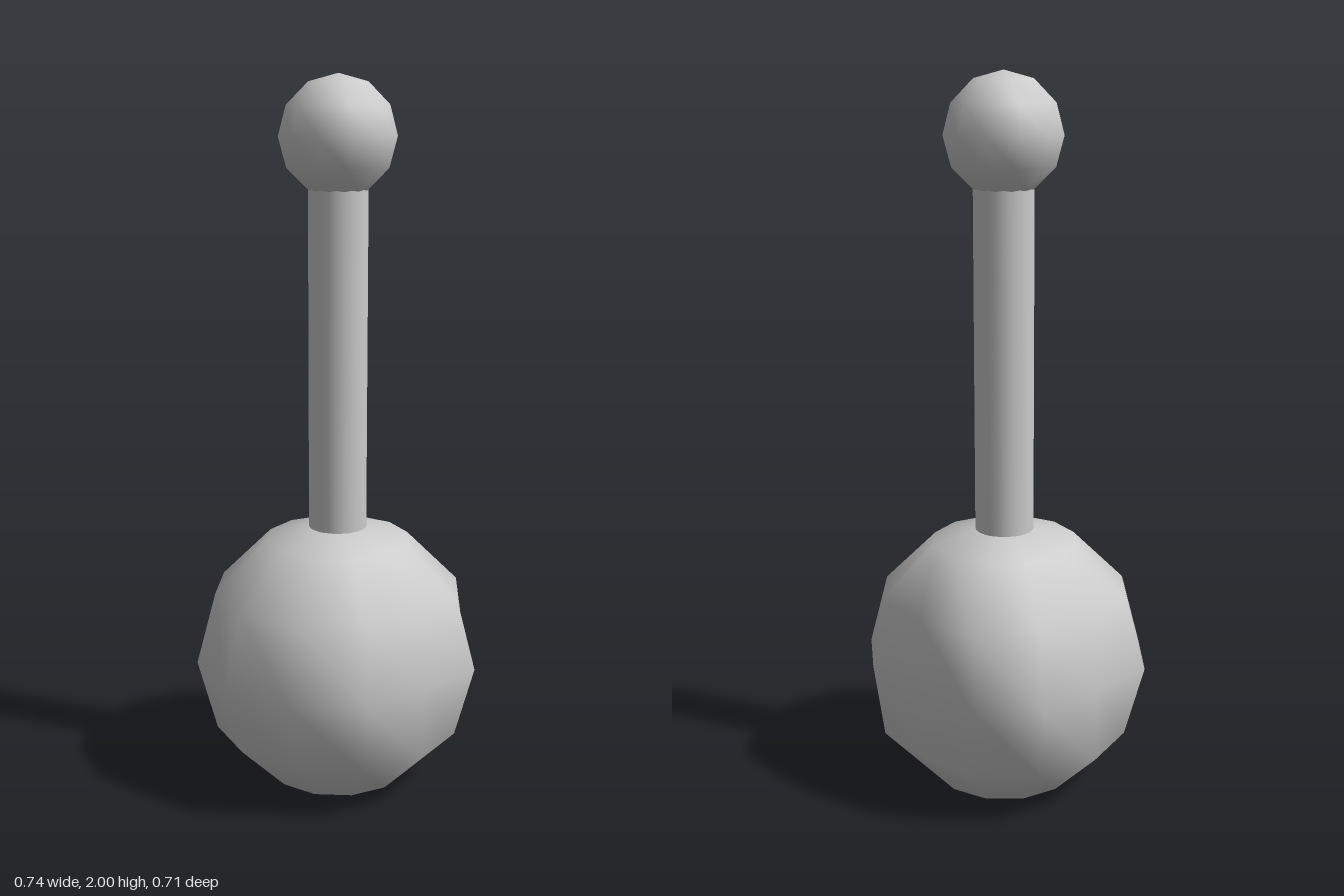
import * as THREE from 'three';
import { mergeVertices } from 'three/addons/utils/BufferGeometryUtils.js';

const material = new THREE.MeshStandardMaterial({ color: 0xcccccc });
const axisX = 0.04;

// Squash whatever reaches past a limit almost flat
const squash = (v, limit, rest) => (v > limit ? limit + (v - limit) * rest : v);

// Low-poly ball with smooth normals, optionally reshaped by a rule
function ball(name, radius, y, reshape) {
  const geometry = new THREE.SphereGeometry(radius, 12, 6);
  geometry.translate(axisX, y, 0);
  geometry.deleteAttribute('uv');
  geometry.deleteAttribute('normal');
  const merged = mergeVertices(geometry, 1e-4);
  const pos = merged.attributes.position;
  if (reshape) {
    const p = new THREE.Vector3();
    for (let i = 0; i < pos.count; i++) {
      reshape(p.fromBufferAttribute(pos, i));
      pos.setXYZ(i, p.x, p.y, p.z);
    }
  }
  merged.computeVertexNormals();
  const mesh = new THREE.Mesh(merged, material);
  mesh.name = name;
  return mesh;
}

export function createModel() {
  const model = new THREE.Group();
  model.name = 'ballHandledShaker';

  // Large ball, flattened underneath, at front and back, and on its left
  model.add(ball('largeBall', 0.41, 0.36, (p) => {
    p.x = squash(p.x, 0.36, 0.07);
    p.y = -squash(-p.y, -0.005, 0.09);
    p.z = Math.sign(p.z) * squash(Math.abs(p.z), 0.355, 0.04);
  }));

  // Straight handle, its ends sunk into both balls
  const bottom = 0.7, top = 1.72;
  const handle = new THREE.Mesh(
    new THREE.CylinderGeometry(0.082, 0.082, top - bottom, 24), material);
  handle.position.set(axisX, (bottom + top) / 2, 0);
  handle.name = 'handle';
  model.add(handle);

  // Small end ball
  model.add(ball('smallBall', 0.164, 1.836));
  return model;
}
